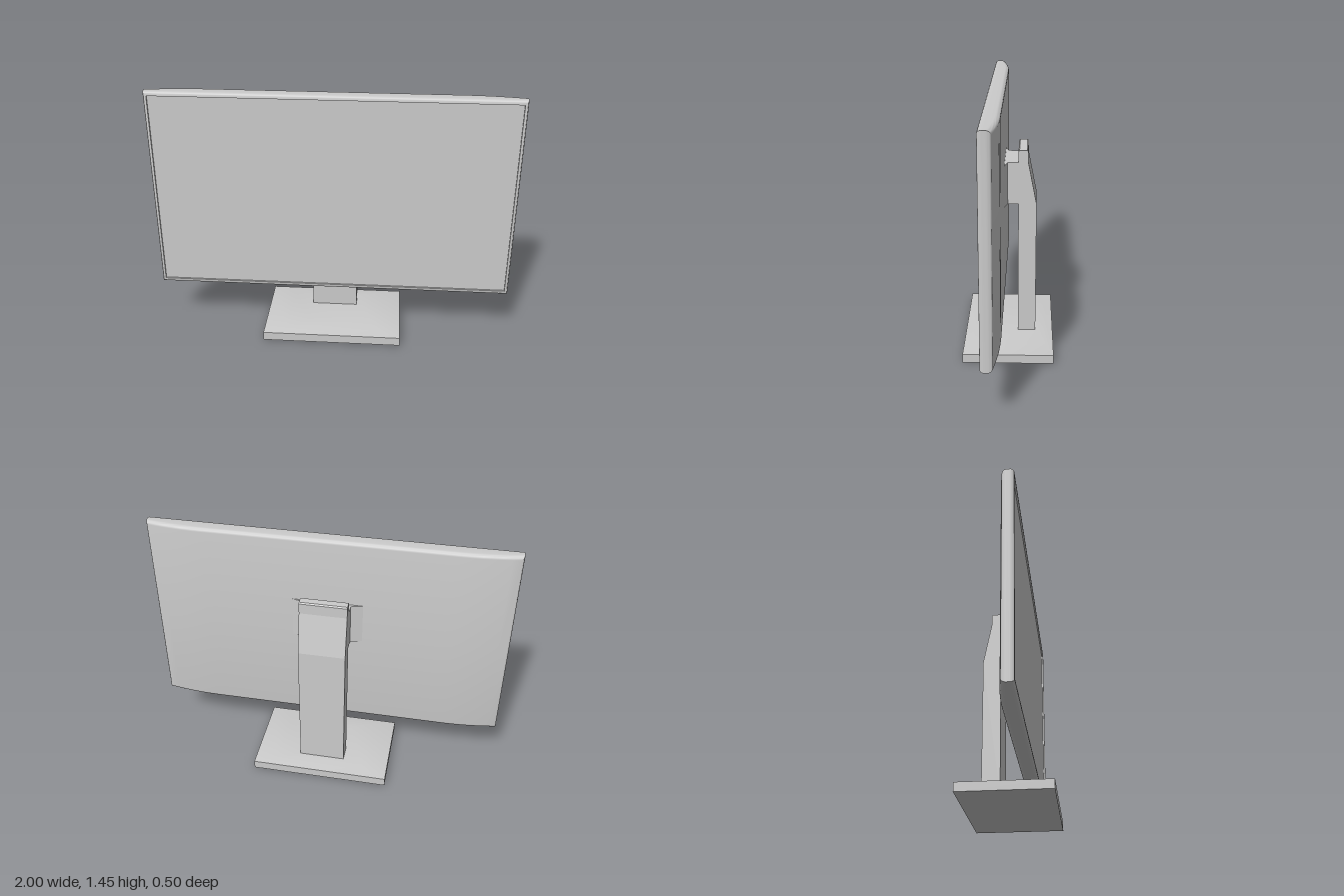
import * as THREE from 'three';
import { toCreasedNormals } from 'three/addons/utils/BufferGeometryUtils.js';

const grey = new THREE.MeshStandardMaterial({ color: 0xcccccc });

function part(name, geometry) {
  const mesh = new THREE.Mesh(geometry, grey);
  mesh.name = name;
  return mesh;
}

// Skin closed rings of [x, y, z] points that share the same count
function loft(rings, crease) {
  const n = rings[0].length, index = [];
  for (let r = 0; r < rings.length - 1; r++) {
    for (let i = 0; i < n; i++) {
      const a = r * n + i, b = r * n + (i + 1) % n;
      index.push(a, b, b + n, a, b + n, a + n);
    }
  }
  const g = new THREE.BufferGeometry();
  g.setAttribute('position', new THREE.Float32BufferAttribute(rings.flat(2), 3));
  g.setIndex(index);
  return toCreasedNormals(g, crease);
}

// Extrude a [u, v] outline, centred on its depth
function slab(points, depth) {
  const shape = new THREE.Shape(points.map(([u, v]) => new THREE.Vector2(u, v)));
  return new THREE.ExtrudeGeometry(shape, { depth, bevelEnabled: false }).translate(0, 0, -depth / 2);
}

// Screen dimensions
const HALF_W = 1, HALF_H = 0.58, MID_Y = 0.87, FRONT = 0.116, PANEL = 0.106;
const backZ = (x) => 0.025 + 0.03 * Math.max(0, (Math.abs(x) - 0.68) / 0.32) ** 2;

// Rectangle ring, subdivided along x so that the back can curve
function screenRing(hx, hy, z) {
  const N = 40, ring = [];
  for (const s of [1, -1]) {
    for (let i = 0; i <= N; i++) {
      const x = s * hx * (2 * i / N - 1);
      ring.push([x, MID_Y - s * hy, z(x)]);
    }
  }
  return ring;
}

function housing() {
  const dx = 0.01, dy = 0.02, rz = 0.024, steps = 6;
  const rings = [screenRing(HALF_W - dx, 0, backZ)];
  // rounded back edge, then rounded front edge
  for (let i = 0; i <= steps; i++) {
    const a = i / steps * Math.PI / 2, k = 1 - Math.sin(a);
    rings.push(screenRing(HALF_W - dx * k, HALF_H - dy * k, (x) => backZ(x) + rz * (1 - Math.cos(a))));
  }
  for (let i = 0; i <= steps; i++) {
    const a = i / steps * Math.PI / 2, k = 1 - Math.cos(a);
    rings.push(screenRing(HALF_W - dx * k, HALF_H - 0.014 * k, () => FRONT - 0.02 * (1 - Math.sin(a))));
  }
  // bezel lip and recess wall
  rings.push(screenRing(0.98, 0.557, () => FRONT));
  rings.push(screenRing(0.98, 0.557, () => PANEL));
  return loft(rings, 0.6);
}

function base() {
  const ring = (hx, z0, z1, y) => [[-hx, y, z1], [hx, y, z1], [hx, y, z0], [-hx, y, z0]];
  return loft([
    ring(0, 0, 0, 0),
    ring(0.395, -0.25, 0.25, 0),
    ring(0.395, -0.25, 0.25, 0.05),
    ring(0.26, -0.2, 0.195, 0.062),
    ring(0.13, -0.15, 0.14, 0.071),
    ring(0, 0, 0, 0.071),
  ], 0.5);
}

export function createModel() {
  const model = new THREE.Group();
  model.name = 'monitor';

  const screen = new THREE.Group();
  screen.name = 'screen';
  screen.add(part('housing', housing()));
  screen.add(part('displayPanel', new THREE.PlaneGeometry(1.96, 1.114).translate(0, MID_Y, PANEL)));
  model.add(screen);

  // Column: side outline with a slanted back and narrow top
  const column = slab([
    [-0.05, 0.06], [-0.05, 1.13], [-0.056, 1.137], [-0.097, 1.137],
    [-0.104, 1.13], [-0.104, 1.07], [-0.15, 0.835], [-0.15, 0.06],
  ], 0.262).rotateY(-Math.PI / 2);
  model.add(part('standColumn', column));

  // Mount: plan outline flaring out towards the screen back
  const mount = slab([
    [-0.131, -0.06], [0.131, -0.06], [0.131, 0.008], [0.2, 0.026], [-0.2, 0.026], [-0.131, 0.008],
  ], 0.235).rotateX(Math.PI / 2).translate(0, 0.953, 0);
  model.add(part('screenMount', mount));

  model.add(part('base', base()));
  return model;
}
